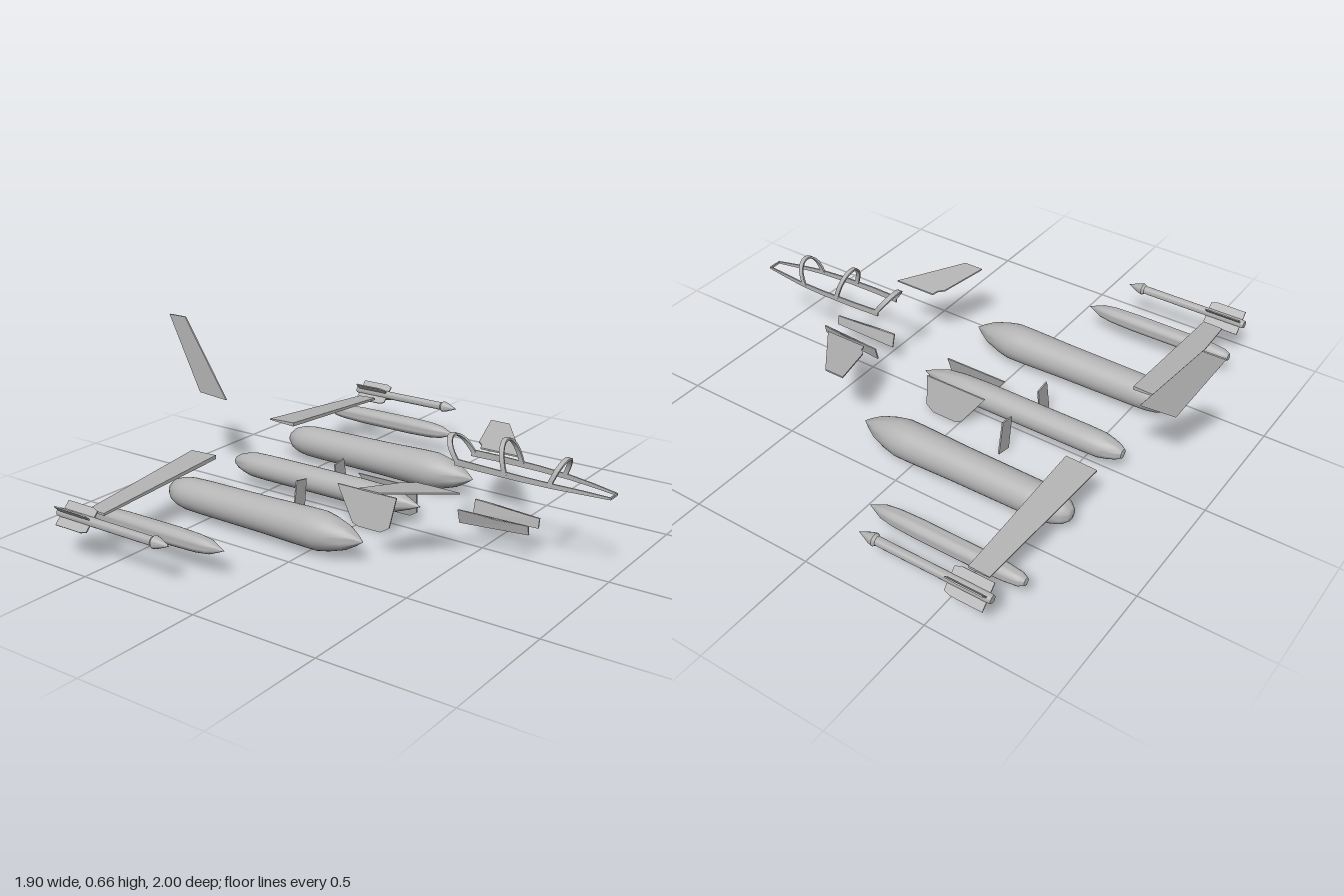
import * as THREE from 'three';
import { toCreasedNormals } from 'three/addons/utils/BufferGeometryUtils.js';

const grey = new THREE.MeshStandardMaterial({ color: 0xb4b4b4 });
grey.name = 'light grey';

// Closed solid through rings of points, capped at both ends and wound outwards.
function loft(rings, mirror = 1) {
  const n = rings[0].length;
  const tris = [];
  for (let i = 0; i + 1 < rings.length; i++) {
    const a = rings[i], b = rings[i + 1];
    for (let j = 0; j < n; j++) {
      const k = (j + 1) % n;
      tris.push([a[j], a[k], b[k]], [a[j], b[k], b[j]]);
    }
  }
  const first = rings[0], last = rings[rings.length - 1];
  for (let j = 1; j + 1 < n; j++) {
    tris.push([first[0], first[j + 1], first[j]], [last[0], last[j], last[j + 1]]);
  }
  const solid = tris.map(t => t.map(p => new THREE.Vector3(p[0] * mirror, p[1], p[2])));
  const volume = solid.reduce((s, [a, b, c]) => s + a.dot(b.clone().cross(c)), 0);
  if (volume < 0) solid.forEach(t => t.reverse());
  const g = new THREE.BufferGeometry().setFromPoints(solid.flat());
  g.computeVertexNormals();
  return g;
}

// Flat panel: an outline swept by a small thickness vector.
const panel = (outline, t, mirror) => loft([-0.5, 0.5].map(
  s => outline.map(p => p.map((v, i) => v + s * t[i]))), mirror);

// Round body along z from [radius, z] pairs, tail first.
function turned(profile, segments = 28) {
  const g = new THREE.LatheGeometry(profile.map(p => new THREE.Vector2(...p)), segments);
  g.rotateX(Math.PI / 2);
  return toCreasedNormals(g, 0.6);
}

// Arched ribbon leaning from its feet (z0) to its crown (z1).
function arch(halfWidth, y0, y1, z0, z1, width, steps = 16) {
  const rings = [];
  for (let i = 0; i <= steps; i++) {
    const a = Math.PI * i / steps;
    const rise = Math.pow(Math.sin(a), 0.85);
    const z = z0 + (z1 - z0) * rise;
    const point = (thick, dz) => [
      Math.cos(a) * (halfWidth - thick), y0 + (y1 - y0 - thick) * rise, z + dz];
    rings.push([point(0, -width / 2), point(0, width / 2),
      point(0.008, width / 2), point(0.008, -width / 2)]);
  }
  return toCreasedNormals(loft(rings), 0.6);
}

export function createModel() {
  const root = new THREE.Group();
  const add = (name, geometry, x = 0, y = 0, parent = root) => {
    const mesh = new THREE.Mesh(geometry, grey);
    mesh.name = name;
    mesh.position.set(x, y, 0);
    parent.add(mesh);
  };

  // Centre tank and tail fin
  add('centreTank', turned([[0, -0.666], [0.018, -0.66], [0.03, -0.64], [0.04, -0.61],
    [0.049, -0.57], [0.051, -0.5], [0.052, -0.05], [0.049, 0.05], [0.04, 0.13],
    [0.02, 0.185], [0, 0.232]]), 0, 0.097);
  add('tailFin', panel([[0, 0.345, -0.71], [0, 0.355, -0.85], [0, 0.663, -1],
    [0, 0.663, -0.915]], [0.007, 0, 0]));

  // Canopy frame
  const canopy = new THREE.Group();
  canopy.name = 'canopyFrame';
  root.add(canopy);
  const rail = [[0.028, 0.31, 0.318, 1], [0.045, 0.313, 0.327, 0.9], [0.06, 0.315, 0.333, 0.8],
    [0.067, 0.317, 0.338, 0.68], [0.067, 0.319, 0.343, 0.52], [0.062, 0.32, 0.345, 0.41]];
  for (const s of [1, -1]) {
    add(s > 0 ? 'leftRail' : 'rightRail', loft(rail.map(([x, b, t, z]) =>
      [[x, b, z], [x, t, z], [x - 0.006, t, z], [x - 0.006, b, z]]), s), 0, 0, canopy);
  }
  add('frontBar', new THREE.BoxGeometry(0.056, 0.008, 0.006).translate(0, 0.314, 0.997), 0, 0, canopy);
  add('frontArch', arch(0.062, 0.325, 0.414, 0.785, 0.82, 0.018), 0, 0, canopy);
  add('middleArch', arch(0.068, 0.33, 0.44, 0.615, 0.583, 0.018), 0, 0, canopy);
  add('rearArch', arch(0.063, 0.335, 0.415, 0.42, 0.364, 0.022), 0, 0, canopy);

  // Mirrored parts
  for (const s of [1, -1]) {
    const side = s > 0 ? 'left' : 'right';

    add(side + 'LargeTank', turned([[0, -0.675], [0.025, -0.668], [0.045, -0.645],
      [0.058, -0.61], [0.064, -0.57], [0.066, -0.5], [0.069, -0.2], [0.074, 0],
      [0.074, 0.055], [0.064, 0.105], [0.045, 0.165], [0.022, 0.205], [0, 0.235]], 32), s * 0.375, 0.09);

    add(side + 'SmallTank', turned([[0, -0.727], [0.014, -0.722], [0.025, -0.7],
      [0.031, -0.65], [0.035, -0.55], [0.036, -0.3], [0.033, -0.2], [0.026, -0.145],
      [0.012, -0.11], [0, -0.082]], 24), s * 0.745, 0.11);

    // Missile with four crossed fins
    const missile = new THREE.Group();
    missile.name = side + 'Missile';
    missile.position.set(s * 0.913, 0.165, 0);
    root.add(missile);
    add('missileBody', turned([[0, -0.705], [0.015, -0.705], [0.017, -0.69], [0.017, -0.25],
      [0.024, -0.24], [0.02, -0.222], [0, -0.173]], 16), 0, 0, missile);
    for (let i = 0; i < 4; i++) {
      const fin = panel([[0.01, 0, -0.69], [0.05, 0, -0.69], [0.05, 0, -0.565],
        [0.042, 0, -0.54], [0.01, 0, -0.54]], [0, 0.005, 0]);
      add('missileFin', fin.rotateZ(Math.PI / 4 + i * Math.PI / 2), 0, 0, missile);
    }

    // Wedge-shaped flap
    add(side + 'Flap', loft([
      [[0.242, 0.21, -0.56], [0.242, 0.194, -0.56], [0.242, 0.2, -0.686], [0.242, 0.205, -0.686]],
      [[0.838, 0.167, -0.56], [0.838, 0.157, -0.56], [0.838, 0.16, -0.642], [0.838, 0.164, -0.642]],
    ], s));

    // Canard, rising towards its tip
    const canardPoint = (x, z) => [x, 0.29 + (x - 0.22) * 0.14, z];
    add(side + 'Canard', panel([canardPoint(0.22, 0.53), canardPoint(0.447, 0.35),
      canardPoint(0.447, 0.268), canardPoint(0.262, 0.323), canardPoint(0.245, 0.345),
      canardPoint(0.22, 0.353)], [0, 0.006, 0], s));

    // Airbrake standing across the flow
    add(side + 'Airbrake', panel([[0.152, 0.147, -0.235], [0.092, 0.137, -0.235],
      [0.11, 0, -0.235], [0.176, 0.013, -0.235]], [0, 0, 0.006], s));

    // Slim panel beside the nose
    add(side + 'NosePanel', panel([[0.043, 0.15, 0.705], [0.036, 0.114, 0.705],
      [0.048, 0.1, 0.43], [0.062, 0.155, 0.43], [0.059, 0.155, 0.5], [0.053, 0.148, 0.58]],
    [0.006, 0, 0], s));

    // Lower door, splayed outwards
    add(side + 'LowerDoor', loft([-0.003, 0.003].map(d => [
      [0.068 + d, 0.14, -0.1], [0.098 + d, 0.012, -0.01], [0.1 + d, 0.003, 0.02],
      [0.1 + d, 0.003, 0.12], [0.095 + d, 0.025, 0.155], [0.068 + d, 0.14, 0.17]]), s));
  }
  return root;
}
